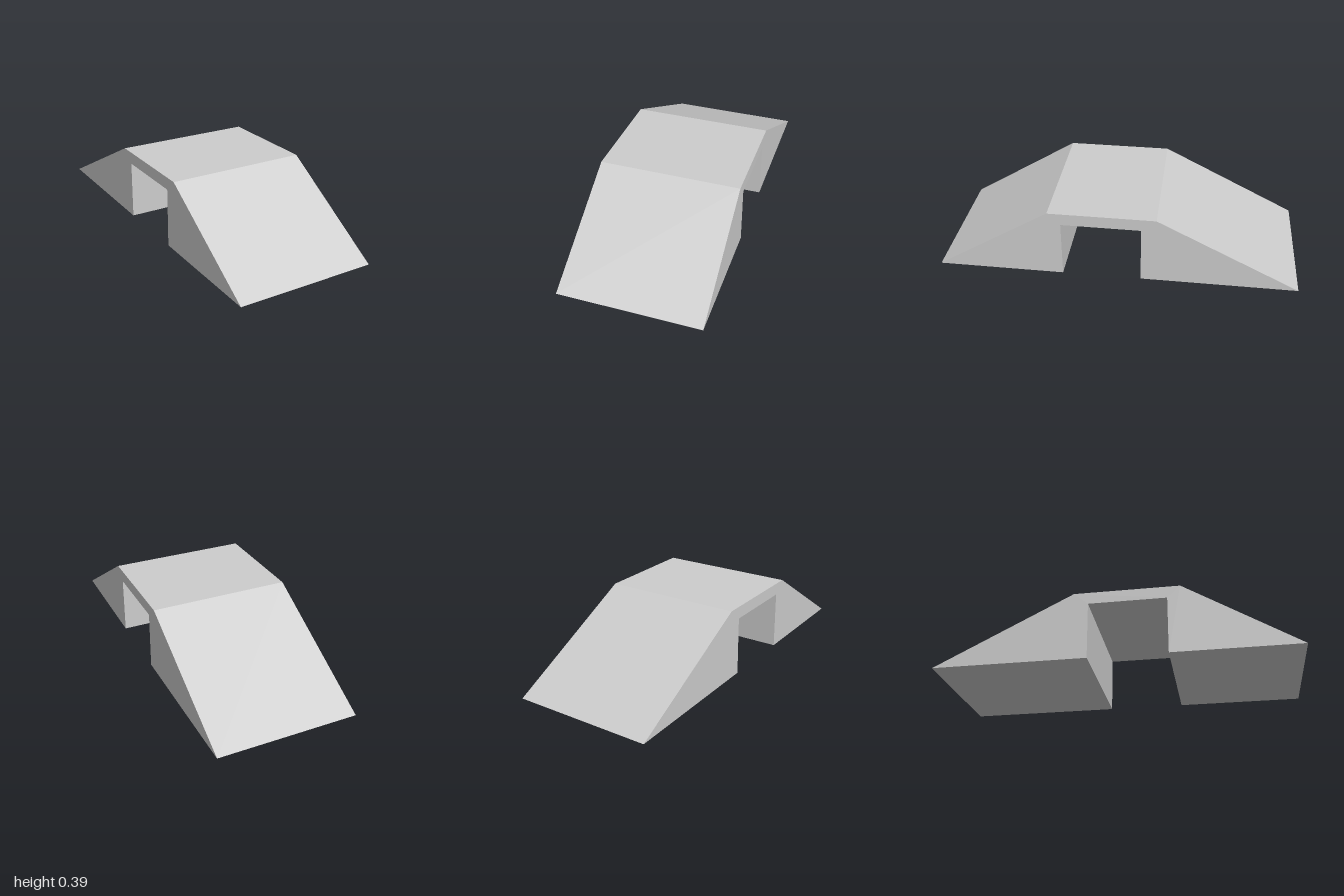
import * as THREE from 'three';

const WIDTH = 0.78;

export function createModel() {
  const group = new THREE.Group();
  group.name = 'ramp';

  const paleGrey = new THREE.MeshStandardMaterial({ color: 0xcccccc });
  paleGrey.name = 'paleGrey';

  // Side profile as [z, y]: front slope, flat deck, longer rear slope, underpass
  const profile = [
    [1, 0], [0.295, 0], [0.295, 0.325], [-0.14, 0.325], [-0.14, 0],
    [-1, 0], [-0.22, 0.393], [0.367, 0.393],
  ];
  const shape = new THREE.Shape(profile.map(([z, y]) => new THREE.Vector2(-z, y)));

  // Extrude across the width, then turn so the profile runs along z
  const geometry = new THREE.ExtrudeGeometry(shape, { depth: WIDTH, bevelEnabled: false });
  geometry.translate(0, 0, -WIDTH / 2);
  geometry.rotateY(Math.PI / 2);

  const body = new THREE.Mesh(geometry, paleGrey);
  body.name = 'rampBody';
  group.add(body);
  return group;
}
